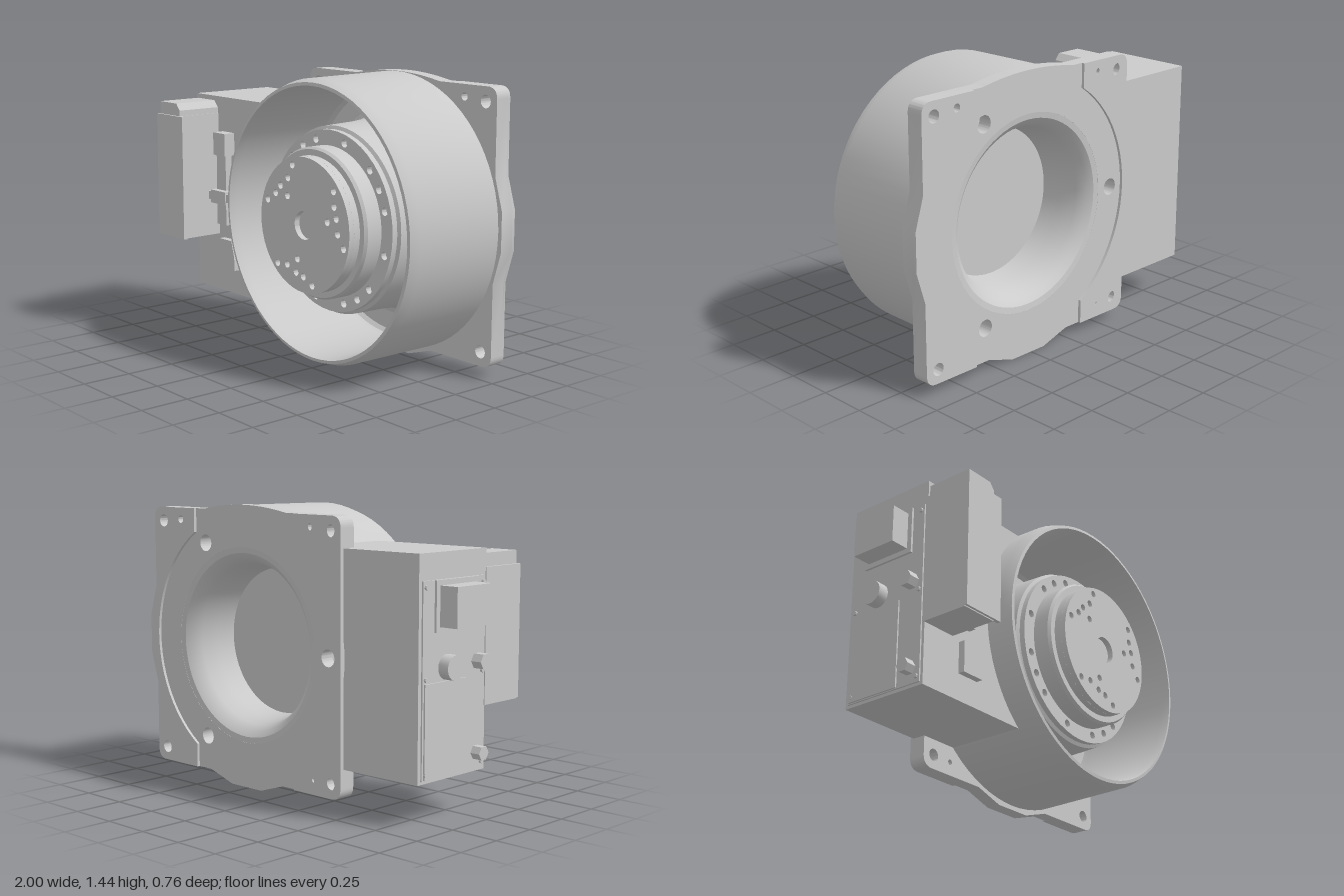
import * as THREE from 'three';
import { toCreasedNormals } from 'three/addons/utils/BufferGeometryUtils.js';

const CX = 0.268, CY = 0.733; // axis of the round housing

export function createModel() {
  const model = new THREE.Group();
  const material = new THREE.MeshStandardMaterial({ color: 0xcccccc });
  const rotor = new THREE.Group();
  rotor.name = 'roundHousing';
  rotor.position.set(CX, CY, 0);
  model.add(rotor);

  const add = (parent, name, geometry) => {
    const mesh = new THREE.Mesh(toCreasedNormals(geometry, 0.5), material);
    mesh.name = name;
    parent.add(mesh);
    return mesh;
  };
  // box given by its limits
  const box = (name, x0, x1, y0, y1, z0, z1) => add(model, name,
    new THREE.BoxGeometry(x1 - x0, y1 - y0, z1 - z0)
      .translate((x0 + x1) / 2, (y0 + y1) / 2, (z0 + z1) / 2));
  // outline turned about the z axis, points are [radius, z]
  const turned = (name, pts) => add(rotor, name,
    new THREE.LatheGeometry(pts.map(p => new THREE.Vector2(...p)), 72).rotateX(Math.PI / 2));
  const slab = (parent, name, shape, z0, z1) => add(parent, name,
    new THREE.ExtrudeGeometry(shape, { depth: z1 - z0, bevelEnabled: false, curveSegments: 24 }).translate(0, 0, z0));
  const drill = (shape, x, y, r) =>
    shape.holes.push(new THREE.Path().absarc(x, y, r, 0, Math.PI * 2, true));
  const drillPolar = (shape, radius, degrees, r) => {
    const a = THREE.MathUtils.degToRad(degrees);
    drill(shape, radius * Math.cos(a), radius * Math.sin(a), r);
  };
  const disc = r => new THREE.Shape().absarc(0, 0, r, 0, Math.PI * 2, false);

  // ---- mounting plate with swollen sides
  const H = 0.682, C = 0.06;
  const plate = new THREE.Shape();
  plate.moveTo(H, -H + C);
  plate.lineTo(H, -0.26);
  plate.lineTo(0.73, -0.1);
  plate.lineTo(0.73, 0.1);
  plate.lineTo(H, 0.26);
  plate.lineTo(H, H - C);
  plate.quadraticCurveTo(H, H, H - C, H);
  plate.lineTo(0.3, H);
  plate.quadraticCurveTo(0, 0.74, -0.3, H);
  plate.lineTo(-H + C, H);
  plate.quadraticCurveTo(-H, H, -H, H - C);
  plate.lineTo(-H, -H + C);
  plate.quadraticCurveTo(-H, -H, -H + C, -H);
  plate.lineTo(-0.27, -H);
  plate.lineTo(-0.11, -0.733);
  plate.lineTo(0.11, -0.733);
  plate.lineTo(0.27, -H);
  plate.lineTo(H - C, -H);
  plate.quadraticCurveTo(H, -H, H, -H + C);
  drill(plate, 0, 0, 0.5);
  for (const a of [60, 180, 300]) drillPolar(plate, 0.585, a, 0.043);

  const cornerHoles = (shape, sides) => {
    for (const s of sides) {
      for (const y of [-0.61, 0.61]) drill(shape, s * 0.61, y, 0.032);
      drill(shape, s * 0.472, 0.622, 0.02);
      if (s < 0) drill(shape, -0.49, -0.613, 0.014);
    }
  };
  cornerHoles(plate, [-1, 1]);
  slab(rotor, 'mountingPlate', plate, -0.365, -0.29);

  // raised rear pads on both sides of the plate
  for (const s of [-1, 1]) {
    const pad = new THREE.Shape();
    const R = 0.667, end = Math.acos(0.365 / R);
    pad.moveTo(s * 0.365, -H);
    pad.lineTo(s * (H - C), -H);
    pad.quadraticCurveTo(s * H, -H, s * H, -H + C);
    if (s > 0) {
      pad.lineTo(H, -0.26);
      pad.lineTo(0.73, -0.1);
      pad.lineTo(0.73, 0.1);
      pad.lineTo(H, 0.26);
    }
    pad.lineTo(s * H, H - C);
    pad.quadraticCurveTo(s * H, H, s * (H - C), H);
    pad.lineTo(s * 0.365, H);
    for (let i = 0; i <= 24; i++) {
      const a = end * (1 - i / 12);
      pad.lineTo(s * R * Math.cos(a), R * Math.sin(a));
    }
    cornerHoles(pad, [s]);
    slab(rotor, s > 0 ? 'leftRearPad' : 'rightRearPad', pad, -0.38, -0.365);
  }

  // ---- open round case
  turned('caseWall', [[0.645, -0.3], [0.71, -0.3], [0.705, 0.21], [0.688, 0.262], [0.672, 0.265],
    [0.664, 0.22], [0.66, -0.24], [0.654, -0.27], [0.636, -0.289]]);

  // ---- hub, hollow from the rear
  turned('hub', [[0, -0.1], [0.38, -0.1], [0.395, -0.2], [0.415, -0.29], [0.44, -0.335], [0.47, -0.36],
    [0.505, -0.365], [0.54, -0.289], [0.51, -0.275], [0.487, -0.22], [0.475, -0.1], [0.468, 0.11],
    [0.45, 0.12], [0.375, 0.12], [0.375, 0.235], [0.365, 0.25], [0.335, 0.25], [0.335, 0.285], [0, 0.285]]);

  // bolt ring
  const ring = disc(0.452);
  drill(ring, 0, 0, 0.37);
  for (let k = 0; k < 4; k++)
    for (const a of [15, 30, 45, 75]) drillPolar(ring, 0.41, a + 90 * k, 0.02);
  slab(rotor, 'boltRing', ring, 0.12, 0.15);

  // front face with three groups of holes
  const face = disc(0.335);
  drill(face, 0, 0, 0.07);
  for (let k = 0; k < 3; k++)
    for (const [r, a] of [[0.3, 107], [0.25, 119], [0.25, 136], [0.255, 149], [0.18, 134], [0.295, 162]])
      drillPolar(face, r, a + 120 * k, 0.018);
  slab(rotor, 'outputFace', face, 0.285, 0.315);

  // ---- side gearbox, its inner end curved to meet the case
  const side = new THREE.Shape();
  side.moveTo(-0.88, 0.205);
  const reach = Math.asin(0.53 / 0.69);
  for (let i = 0; i <= 20; i++) {
    const a = reach * (i / 10 - 1);
    side.lineTo(CX - 0.69 * Math.cos(a), CY + 0.69 * Math.sin(a));
  }
  side.lineTo(-0.88, 1.265);
  slab(model, 'sideHousing', side, -0.36, 0.125);

  // ---- control unit on the front of the side housing
  box('controlBody', -0.885, -0.685, 0.515, 1.175, 0.12, 0.372);
  box('controlFrontPlate', -0.885, -0.65, 0.52, 1.175, 0.365, 0.385);
  const cap = new THREE.Shape();
  cap.moveTo(-0.87, 1.17);
  cap.lineTo(-0.69, 1.17);
  cap.lineTo(-0.69, 1.205);
  cap.lineTo(-0.72, 1.24);
  cap.lineTo(-0.87, 1.24);
  slab(model, 'controlCap', cap, 0.12, 0.372);

  // small connectors beside the control unit
  box('connectorStrip', -0.65, -0.57, 0.58, 0.97, 0.12, 0.165);
  box('upperConnector', -0.645, -0.545, 0.96, 1.08, 0.12, 0.19);
  box('connectorLatch', -0.66, -0.53, 0.7, 0.77, 0.12, 0.2);
  box('lever', -0.7, -0.47, 0.715, 0.758, 0.165, 0.195);
  const bracket = new THREE.Shape();
  [[-0.64, 0.34], [-0.51, 0.34], [-0.51, 0.41], [-0.535, 0.5], [-0.64, 0.5]]
    .forEach(([x, y], i) => (i ? bracket.lineTo(x, y) : bracket.moveTo(x, y)));
  slab(model, 'lowerBracket', bracket, 0.12, 0.16);

  // ---- fittings on the outer end
  box('endPanel', -0.888, -0.875, 0.22, 1.14, -0.34, 0.11);
  box('accessCover', -0.896, -0.88, 0.225, 0.67, -0.33, -0.03);
  box('socketBase', -0.9, -0.88, 0.9, 1.14, -0.26, 0.04);
  box('socket', -1, -0.89, 0.925, 1.115, -0.235, 0.015);
  for (const [name, y, z, r, length, sides] of [['knob', 0.735, -0.17, 0.06, 0.065, 20],
    ['upperFitting', 0.74, 0.05, 0.04, 0.065, 6], ['lowerFitting', 0.3, 0.05, 0.036, 0.06, 6]]) {
    add(model, name, new THREE.CylinderGeometry(r, r, length, sides)
      .rotateZ(Math.PI / 2).translate(-0.88 - length / 2, y, z));
  }
  // panel screws
  for (const y of [0.25, 0.69, 1.11])
    for (const z of [-0.32, 0.09])
      add(model, 'panelScrew', new THREE.CylinderGeometry(0.012, 0.012, 0.014, 8)
        .rotateZ(Math.PI / 2).translate(-0.892, y, z));
  return model;
}
